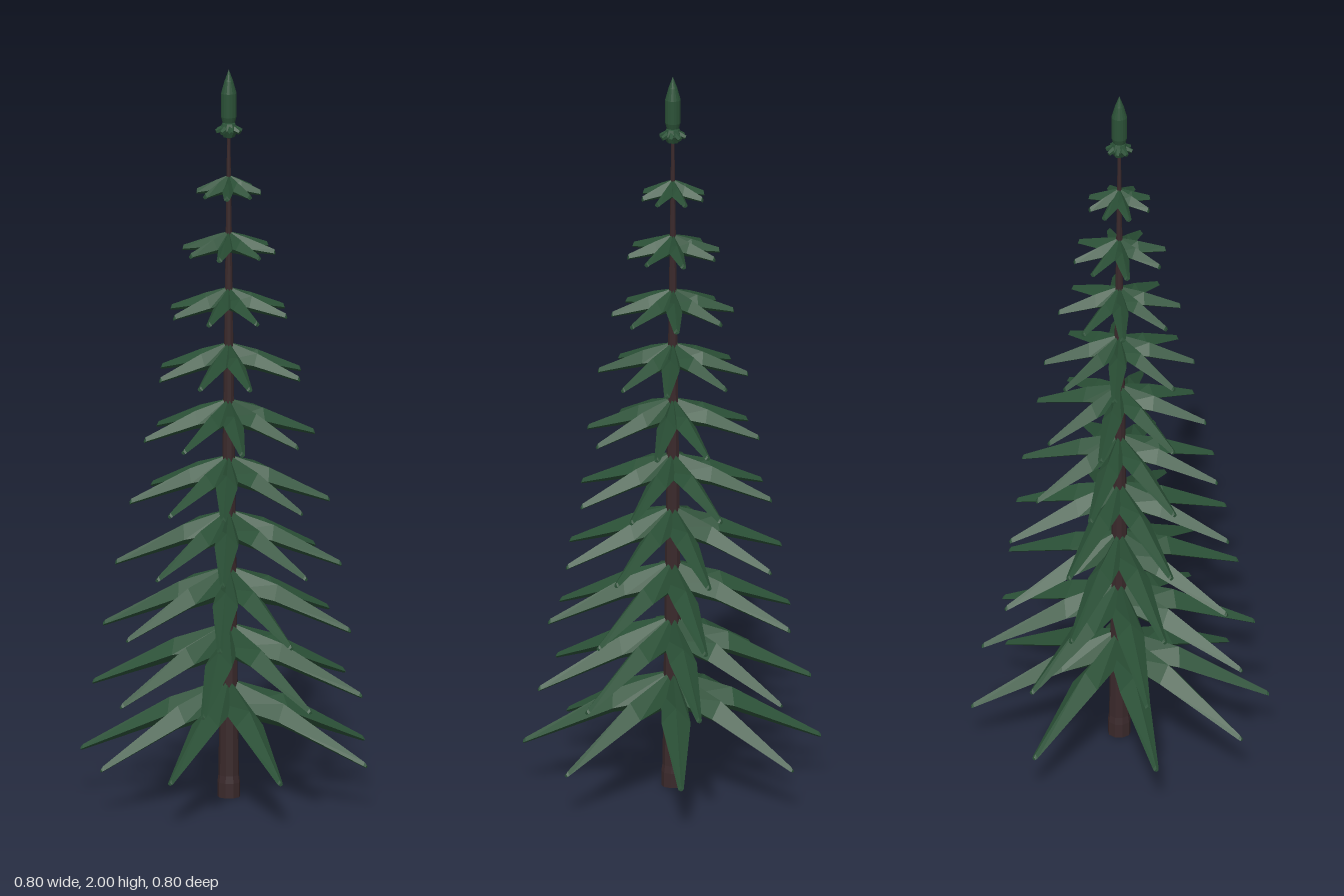
import * as THREE from 'three';

const needleGreen = new THREE.MeshStandardMaterial({ color: 0x2b5137, flatShading: true });
needleGreen.name = 'needleGreen';
const barkBrown = new THREE.MeshStandardMaterial({ color: 0x3a292b, flatShading: true });
barkBrown.name = 'barkBrown';

// Tiers from the ground up: reach, height at the trunk, height at the tips
const TIERS = [
  [0.402, 0.325, 0.113], [0.372, 0.48, 0.293], [0.337, 0.635, 0.467], [0.305, 0.79, 0.642],
  [0.27, 0.94, 0.813], [0.235, 1.095, 0.985], [0.202, 1.25, 1.155], [0.165, 1.402, 1.325],
  [0.127, 1.555, 1.495], [0.087, 1.71, 1.655],
];

// Bough directions in degrees, from +x towards +z
const ANGLES = [
  [7, 53.7, 97, 132.5, 173, 222, 268.5, 318.5],
  [0, 37.8, 84.6, 125, 175.4, 226.7, 270, 310.6],
  [358, 44, 78, 128, 166, 210, 252.6, 306.5],
  [351.5, 31, 77, 113, 160, 214, 262, 303],
  [346, 27.5, 77, 110, 154, 204, 242.5, 293],
  [332, 22, 65, 105, 149, 199.6, 241, 298],
];

let seed = 7;
const random = () => (seed = (seed * 16807) % 2147483647) / 2147483647;

// Arched bough along +x, lofted from diamond cross-sections
function boughGeometry(reach, top, tip) {
  const drop = top - tip;
  // distance, ridge height, half width, thickness
  const sections = [
    [0, top, 0.05 * reach + 0.012, 0.15 * reach + 0.04],
    [0.4 * reach, top - 0.27 * drop, 0.075 * reach + 0.009, 0.09 * reach + 0.028],
    [0.985 * reach, tip + 0.016, 0.008, 0.015],
    [reach, tip + 0.009, 0.006, 0.009],
  ];
  const positions = [];
  const index = [];
  for (const [x, y, half, thick] of sections) {
    const side = y - 0.65 * thick;
    positions.push(x, y, 0, x, side, half, x, y - thick, 0, x, side, -half);
  }
  for (let s = 0; s < sections.length - 1; s++) {
    for (let k = 0; k < 4; k++) {
      const a = s * 4 + k, b = s * 4 + ((k + 1) % 4);
      index.push(a, b, a + 4, b, b + 4, a + 4);
    }
  }
  const end = (sections.length - 1) * 4;
  index.push(0, 2, 1, 0, 3, 2, end, end + 1, end + 2, end, end + 2, end + 3);
  const geometry = new THREE.BufferGeometry();
  geometry.setAttribute('position', new THREE.Float32BufferAttribute(positions, 3));
  geometry.setIndex(index);
  geometry.computeVertexNormals();
  return geometry;
}

function lathe(name, profile, sides, material) {
  const points = profile.map(([r, y]) => new THREE.Vector2(r, y));
  const mesh = new THREE.Mesh(new THREE.LatheGeometry(points, sides), material);
  mesh.name = name;
  return mesh;
}

export function createModel() {
  const tree = new THREE.Group();
  tree.name = 'firTree';

  // Tapering trunk with a slightly flared foot
  tree.add(lathe('trunk', [
    [0, 0], [0.031, 0], [0.031, 0.04], [0.028, 0.06], [0.017, 0.95], [0.004, 1.86], [0, 1.86],
  ], 9, barkBrown));

  // Rings of eight boughs, each ring turned a little from the one below
  TIERS.forEach(([reach, top, tip], i) => {
    const ring = new THREE.Group();
    ring.name = 'boughTier' + (i + 1);
    const geometry = boughGeometry(reach, top, tip);
    for (let k = 0; k < 8; k++) {
      const degrees = ANGLES[i] ? ANGLES[i][k] : k * 45 + 53.5 - 7.5 * i + (random() - 0.5) * 10;
      const bough = new THREE.Mesh(geometry, needleGreen);
      bough.name = 'bough';
      bough.rotation.y = -THREE.MathUtils.degToRad(degrees);
      ring.add(bough);
    }
    tree.add(ring);
  });

  // Crown: a tight ring of stubby boughs under the leading shoot
  const crown = new THREE.Group();
  crown.name = 'crownTier';
  const stub = new THREE.CylinderGeometry(0.006, 0.011, 0.03, 5);
  for (let k = 0; k < 8; k++) {
    const angle = k * Math.PI / 4 + 0.3;
    const mesh = new THREE.Mesh(stub, needleGreen);
    mesh.name = 'crownBough';
    mesh.position.set(Math.cos(angle) * 0.021, 1.836, Math.sin(angle) * 0.021);
    mesh.rotation.set(0, -angle, -1.95, 'YXZ');
    crown.add(mesh);
  }
  crown.add(lathe('crownCore', [[0, 1.81], [0.016, 1.815], [0.025, 1.835], [0.018, 1.852], [0, 1.86]], 8, needleGreen));
  tree.add(crown);

  tree.add(lathe('leadingShoot', [
    [0, 1.85], [0.017, 1.855], [0.021, 1.87], [0.021, 1.935], [0.012, 1.968], [0, 2],
  ], 16, needleGreen));

  return tree;
}
